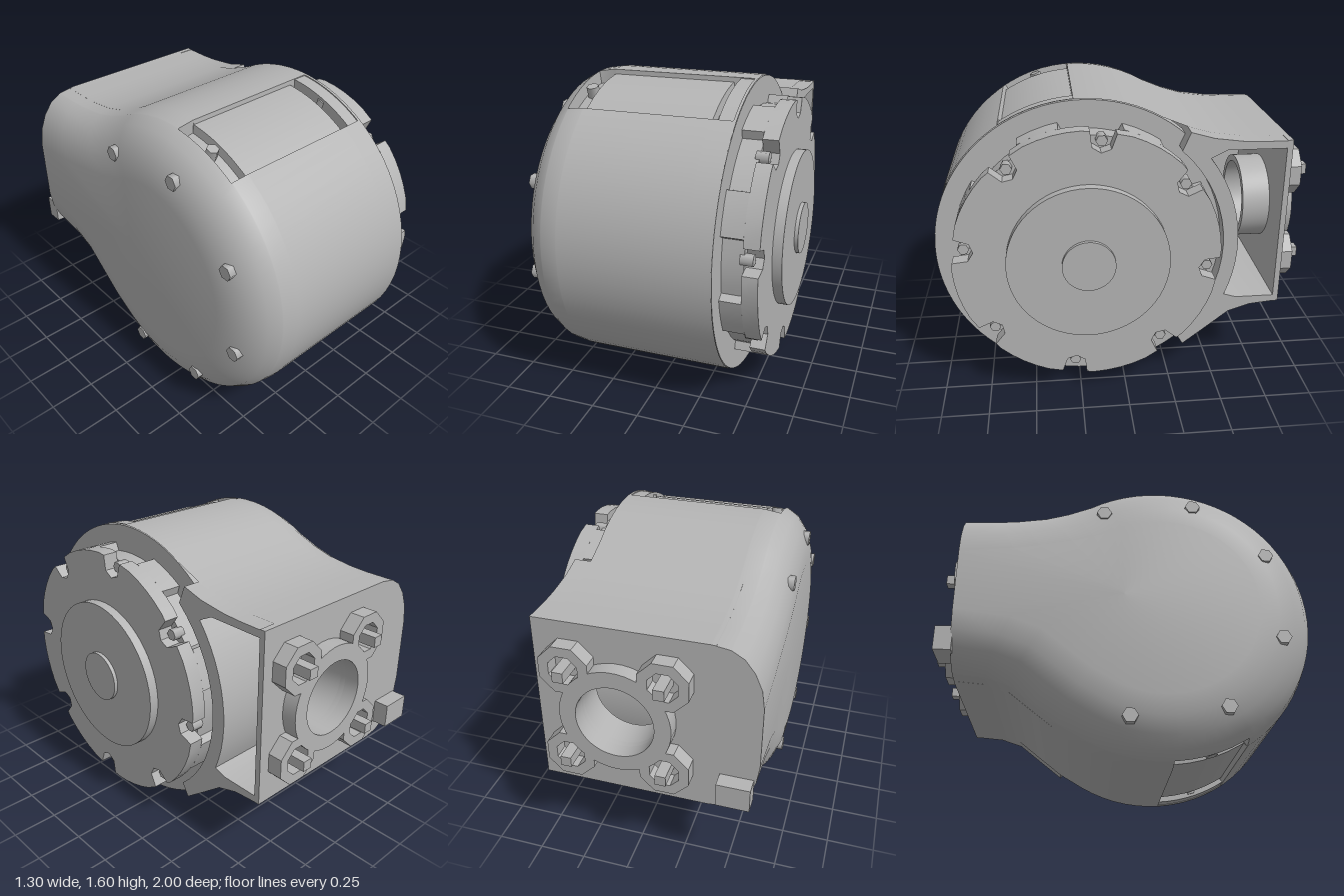
import * as THREE from 'three';
import { toCreasedNormals } from 'three/addons/utils/BufferGeometryUtils.js';

const CZ = 0.2, CY = 0.8, R = 0.8;      // axis of the round housing
const BX = 0.05, BY = 0.91;             // centre of the rear port
const rad = THREE.MathUtils.degToRad;
const polar = (deg, r) => [CZ + r * Math.cos(rad(deg)), CY + r * Math.sin(rad(deg))];

// Upper and lower neck edges as [z, y]
const neckTop = [[-0.86, 1.38], [-0.7, 1.38], [-0.6, 1.385], [-0.45, 1.405], [-0.33, 1.44]];
const neckBottom = [[-0.33, 0.185], [-0.45, 0.28], [-0.58, 0.385], [-0.7, 0.425], [-0.86, 0.44]];

// Housing stations along x: [x, edge rounding, groove depth]
const stations = [
  [-0.65, 0.3, 0], [-0.636, 0.2, 0], [-0.6, 0.115, 0], [-0.55, 0.05, 0], [-0.49, 0.015, 0],
  [-0.485, 0.013, 0.07], [-0.4, 0, 0.07], [-0.395, 0, 0.025], [0.265, 0, 0.025],
  [0.27, 0, 0.07], [0.37, 0, 0.07], [0.375, 0, 0], [0.39, 0, 0],
];

export function createModel() {
  const group = new THREE.Group();
  const grey = new THREE.MeshStandardMaterial({ color: 0xb4b4b4 });
  grey.name = 'metalGrey';

  const add = (name, geometry) => {
    const mesh = new THREE.Mesh(geometry, grey);
    mesh.name = name;
    group.add(mesh);
    return mesh;
  };
  // Cylinder along x
  const cylX = (name, r, x0, x1, y, z, seg = 64) => {
    const g = new THREE.CylinderGeometry(r, r, x1 - x0, seg).rotateZ(-Math.PI / 2);
    return add(name, g.translate((x0 + x1) / 2, y, z));
  };
  // Prism along x from a [z, y] outline
  const prismX = (name, pts, x0, x1) => {
    const shape = new THREE.Shape(pts.map(([z, y]) => new THREE.Vector2(-z, y)));
    const g = new THREE.ExtrudeGeometry(shape, { depth: x1 - x0, bevelEnabled: false });
    return add(name, toCreasedNormals(g.rotateY(Math.PI / 2).translate(x0, 0, 0), 0.5));
  };
  // Prism along z from an [x, y] outline with one round hole
  const prismZ = (name, pts, hole, z0, z1) => {
    const shape = new THREE.Shape(pts.map(([x, y]) => new THREE.Vector2(x, y)));
    if (hole) shape.holes.push(new THREE.Path(ringPoints(...hole).map(([x, y]) => new THREE.Vector2(x, y))));
    const g = new THREE.ExtrudeGeometry(shape, { depth: z1 - z0, bevelEnabled: false });
    return add(name, toCreasedNormals(g.translate(0, 0, z0), 0.5));
  };

  add('housing', housingGeometry());
  cylX('housingEndFace', 0.795, 0.3, 0.39, CY, CZ, 96);

  // Neck walls, open towards the side and the rear port
  const collar = [...neckTop];
  for (let a = 132; a <= 228; a += 6) collar.push(polar(a, 0.73));
  collar.push(...neckBottom, [-0.86, 0.475], [-0.62, 0.475]);
  for (let a = 202; a >= 142; a -= 5) collar.push(polar(a, 0.81));
  collar.push([-0.52, 1.34], [-0.86, 1.34]);
  const inner = collar.map(([z, y]) => [Math.max(z, -0.858), BY + (y - BY) * 0.995]);
  prismX('neckWalls', inner, -0.42, 0.48);
  add('pocketFloor', new THREE.BoxGeometry(0.02, 0.9, 0.42).translate(-0.42, BY, -0.64));

  // Rear plate follows the rounded edge of the housing
  const plate = [[0.48, 0.44], [0.48, 1.38]];
  const edge = stations.filter((s) => s[1] > 0 || s[0] === -0.4);
  for (let i = edge.length - 1; i >= 0; i--) plate.push([edge[i][0], 1.38 - edge[i][1]]);
  for (const [x, r] of edge) plate.push([x, 0.44 + r]);
  prismZ('rearPlate', plate, [BX, BY, 0.2, 40], -0.86, -0.83);

  // Rear port with four pinned lobes
  prismZ('rearPortRing', ringPoints(BX, BY, 0.285, 40), [BX, BY, 0.2, 40], -0.94, -0.86);
  prismZ('rearPortSleeve', ringPoints(BX, BY, 0.235, 40), [BX, BY, 0.2, 40], -0.83, -0.68);
  for (const sx of [-1, 1]) for (const sy of [-1, 1]) {
    const x = BX + sx * 0.245, y = BY + sy * 0.25;
    prismZ('rearLobe', ringPoints(x, y, 0.135, 8), [x, y, 0.08, 8], -0.94, -0.86);
    add('rearPin', new THREE.BoxGeometry(0.055, 0.055, 0.15).translate(x, y, -0.925));
  }
  add('rearTab', new THREE.BoxGeometry(0.17, 0.13, 0.09).translate(-0.54, 0.59, -0.897));

  // Toothed end cover
  const base = [], cover = [];
  for (let k = 0; k < 8; k++) {
    const a = 7 + 45 * k;
    for (const [d, r] of [[-7, 0.65], [0, 0.65], [8, 0.65], [9, 0.695], [15, 0.695], [22, 0.695], [27, 0.695], [28, 0.65], [33, 0.65]])
      base.push(polar(a + d, r));
    for (const [d, r] of [[-5.5, 0.69], [-4.5, 0.61], [0, 0.585], [4.5, 0.61], [5.5, 0.69], [12, 0.695], [18, 0.695], [24, 0.695], [30, 0.695], [36, 0.695]])
      cover.push(polar(a + d, r));
    const [z, y] = polar(a, 0.635);
    cylX('coverScrew', 0.03, 0.48, 0.545, y, z, 6);
    // Screws set into the rounded far edge
    const [bz, by] = polar(a + 22, 0.63);
    if (bz > -0.3) cylX('edgeScrew', 0.04, -0.645, -0.58, by, bz, 6);
  }
  prismX('coverBase', base, 0.38, 0.5);
  prismX('coverPlate', cover, 0.5, 0.58);
  cylX('coverDisc', 0.42, 0.58, 0.63, CY, CZ);
  cylX('hub', 0.138, 0.63, 0.65, CY, CZ, 40);

  // Bolts in the grooves above and below
  for (const x of [-0.44, 0.32]) for (const s of [-1, 1]) {
    const [z, y] = polar(s * 72, 0.745);
    const bolt = add('grooveBolt', new THREE.CylinderGeometry(0.032, 0.032, 0.07, 6));
    bolt.position.set(x, y, z);
    bolt.rotation.x = s > 0 ? rad(18) : rad(-18);
  }
  return group;
}

function ringPoints(cx, cy, r, n) {
  return Array.from({ length: n }, (_, i) => {
    const a = ((i + 0.5) / n) * Math.PI * 2;
    return [cx + r * Math.cos(a), cy + r * Math.sin(a)];
  });
}

// Round barrel with a neck: the outline is swept through the stations
function housingGeometry() {
  const angles = [86.4, 86.2, 57.6, 57.4];
  for (let a = 0; a <= 120; a += 5) angles.push(a);
  const all = [...new Set(angles.flatMap((a) => [a, -a]).map((a) => a + 0))].sort((a, b) => b - a);
  const outline = [
    ...neckTop.map(([z, y]) => ({ z, y })),
    ...all.map((a) => ({ a, z: polar(a, R)[0], y: polar(a, R)[1] })),
    ...neckBottom.map(([z, y]) => ({ z, y })),
  ];
  const n = outline.length, pos = [], index = [];
  for (const [x, round, groove] of stations) {
    for (const p of outline) {
      const inGroove = p.a !== undefined && Math.abs(p.a) > 57.5 && Math.abs(p.a) < 86.3;
      const d = round + (inGroove ? groove : 0);
      // Inset points towards the axis, but only vertically at the back
      const fade = THREE.MathUtils.clamp((p.z + 0.86) / 0.66, 0, 1);
      const dz = (CZ - p.z) * fade, dy = CY + 0.11 * (1 - fade) - p.y;
      const len = Math.hypot(dz, dy);
      pos.push(x, p.y + (dy / len) * d, p.z + (dz / len) * d);
    }
  }
  for (let i = 0; i < stations.length - 1; i++) {
    for (let j = 0; j < n - 1; j++) {
      const a = i * n + j, b = a + n;
      index.push(a, a + 1, b, a + 1, b + 1, b);
    }
  }
  // Flat far end
  const c = pos.length / 3;
  pos.push(-0.65, 0.85, 0);
  for (let j = 0; j < n; j++) index.push(c, (j + 1) % n, j);
  const g = new THREE.BufferGeometry();
  g.setAttribute('position', new THREE.Float32BufferAttribute(pos, 3));
  g.setIndex(index);
  return toCreasedNormals(g, 0.6);
}
